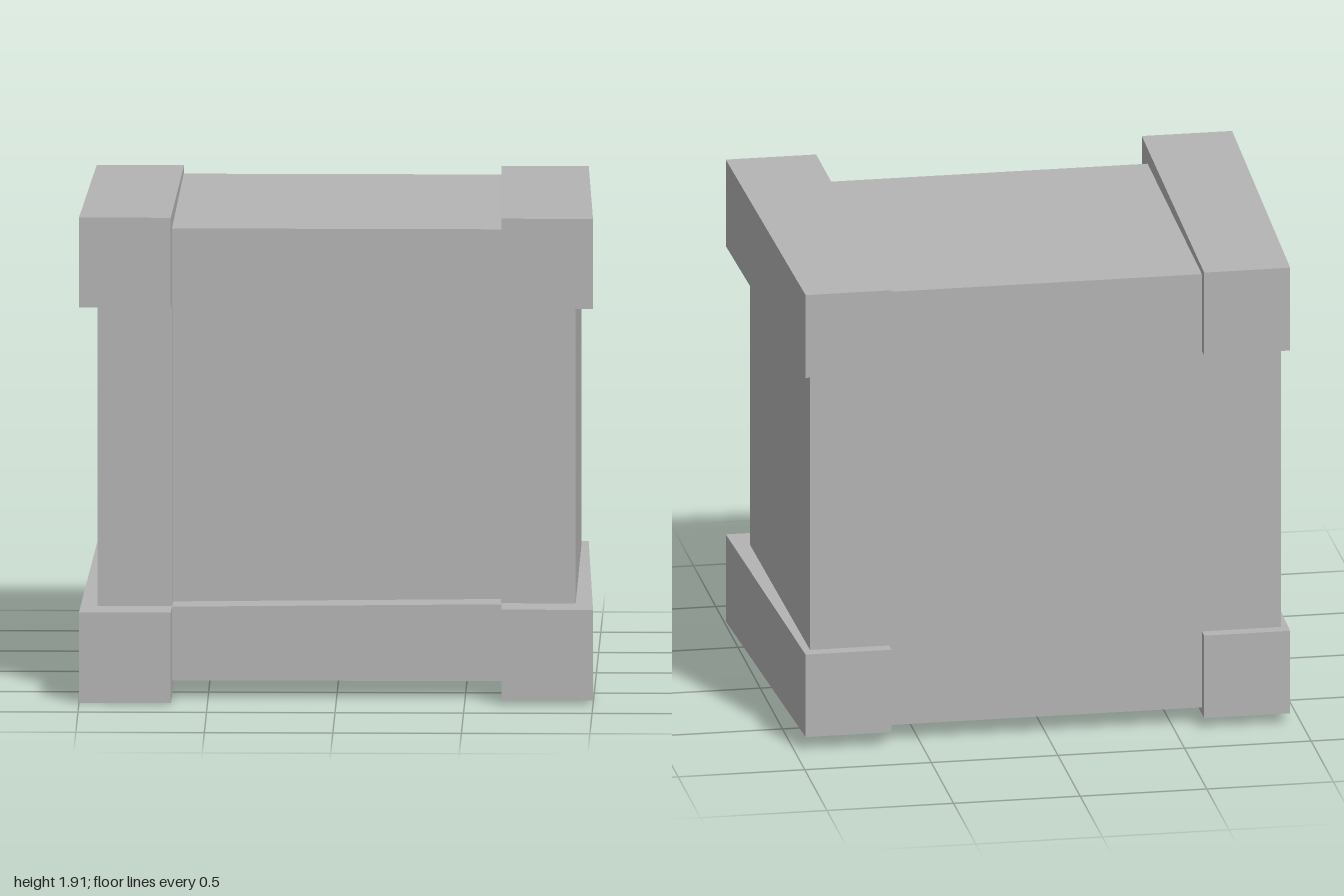
import * as THREE from 'three';

// Box given by its limits
function block(name, [x0, x1], [y0, y1], [z0, z1], material) {
  const geometry = new THREE.BoxGeometry(x1 - x0, y1 - y0, z1 - z0);
  geometry.translate((x0 + x1) / 2, (y0 + y1) / 2, (z0 + z1) / 2);
  const mesh = new THREE.Mesh(geometry, material);
  mesh.name = name;
  return mesh;
}

// Move each corner of a block's vertices by a rule
function reshape(mesh, rule) {
  const p = mesh.geometry.attributes.position;
  for (let i = 0; i < p.count; i++) {
    p.setXYZ(i, ...rule(p.getX(i), p.getY(i), p.getZ(i)));
  }
  mesh.geometry.computeVertexNormals();
  return mesh;
}

// Beam running front to back, with its own rectangle at each end
function beam(name, side, front, back, material) {
  const half = 0.775;
  const mesh = block(name, [-1, 1], [-1, 1], [-half, half], material);
  return reshape(mesh, (x, y, z) => {
    const end = z > 0 ? front : back;
    const outer = x * side > 0;
    return [side * (outer ? end.outer : end.inner), y > 0 ? end.top : end.bottom, z];
  });
}

export function createModel() {
  const group = new THREE.Group();
  group.name = 'crate';
  const grey = new THREE.MeshStandardMaterial({ color: 0xb4b4b4 });
  grey.name = 'plain grey';
  const frame = [0.5, 0.63];

  // Body, whose front face is the recessed panel
  group.add(block('body', [-0.93, 0.93], [0.07, 1.85], [-0.72, 0.5], grey));

  // Front frame
  group.add(block('topRail', [-0.64, 0.64], [1.56, 1.85], frame, grey));
  const bottomRail = block('bottomRail', [-0.64, 0.64], [0.07, 0.36], frame, grey);
  group.add(reshape(bottomRail, (x, y, z) => [x, y > 0.2 && x > 0 ? 0.373 : y, z]));
  group.add(block('leftPost', [0.64, 0.93], [0.07, 1.85], frame, grey));
  group.add(block('rightPost', [-0.93, -0.64], [0.07, 1.85], frame, grey));

  // Tapered edge beams; the lower pair sits at slightly different heights
  for (const side of [1, -1]) {
    const label = side > 0 ? 'Left' : 'Right';
    const lift = side > 0 ? 0.015 : 0;
    const front = { inner: 0.643, outer: 1 };
    const back = { inner: 0.617, outer: 0.957 };
    group.add(beam('top' + label + 'Beam', side,
      { ...front, bottom: 1.56, top: 1.915 },
      { ...back, bottom: 1.535, top: 1.875 }, grey));
    group.add(beam('bottom' + label + 'Beam', side,
      { ...front, bottom: 0.003 + lift, top: 0.36 + lift },
      { ...back, bottom: 0.044 + lift, top: 0.383 + lift }, grey));
  }
  return group;
}
